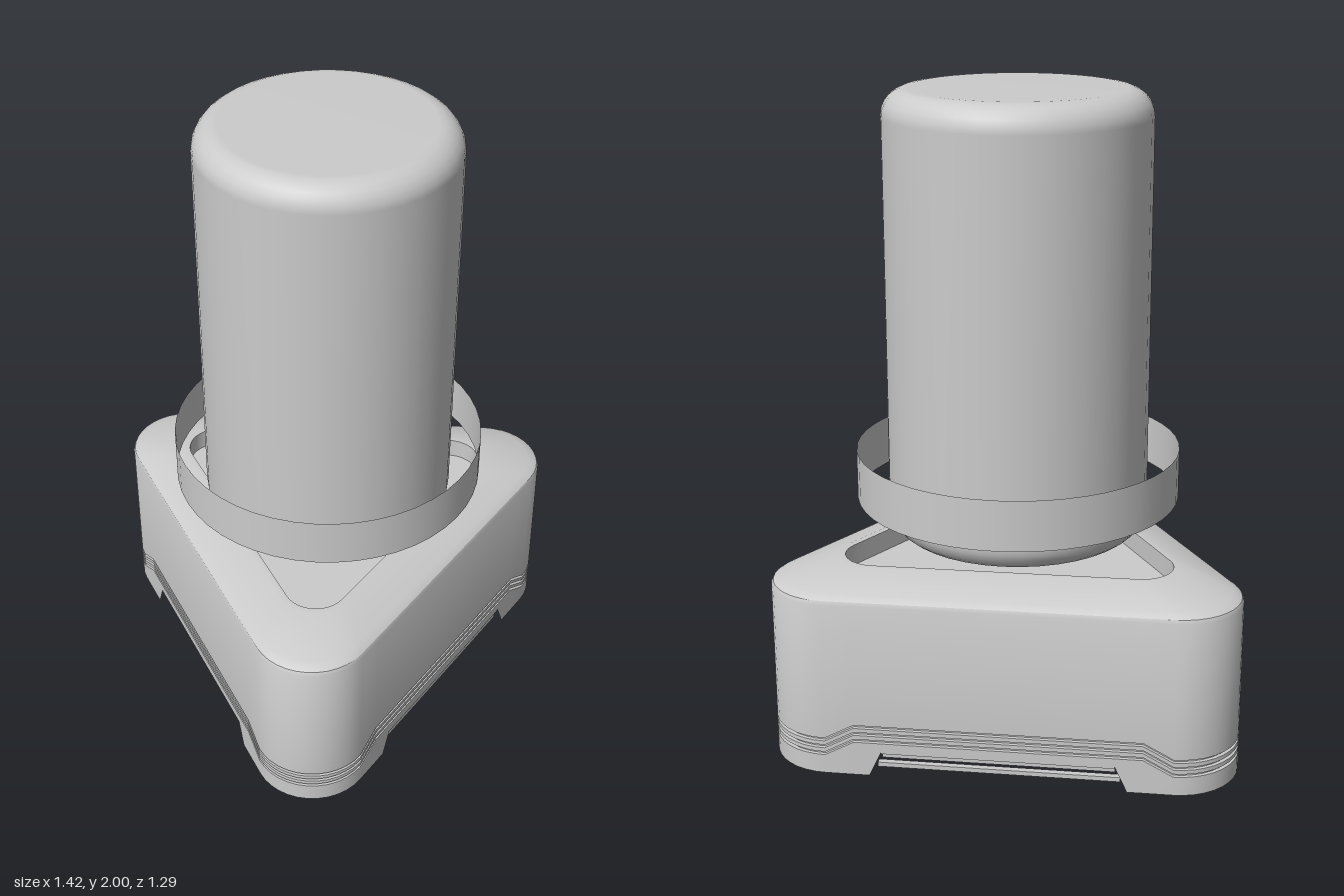
import * as THREE from 'three';
import { toCreasedNormals } from 'three/addons/utils/BufferGeometryUtils.js';

const R = 0.603, r = 0.188;          // corner-centre distance and corner radius of the base
const HALF = R * Math.sin(Math.PI / 3);
const THIRD = Math.PI * 2 / 3;
const CENTRE_Z = -0.151;

// Stations round the rounded triangle: corner direction, outward angle, position along the side
function makeStations() {
  const list = [], arc = 12;
  const along = [-0.433, -0.387, -0.35, 0.35, 0.387, 0.433];
  for (let k = 0; k < 3; k++) {
    for (let i = 0; i <= arc; i++) {
      list.push({ corner: k * THIRD, angle: k * THIRD + (i / arc - 0.5) * THIRD, s: null });
    }
    for (const s of along) list.push({ angle: (k + 0.5) * THIRD, s });
  }
  return list;
}

// Position of a station on a triangle of the given size
function stationPoint(st, size, radius, y) {
  const sin = Math.sin(st.angle), cos = Math.cos(st.angle);
  if (st.s === null) {
    return [Math.sin(st.corner) * size + sin * radius, y, Math.cos(st.corner) * size + cos * radius];
  }
  const t = st.s * size / R, d = size / 2 + radius;
  return [sin * d + cos * t, y, cos * d - sin * t];
}

// Shell of the base: wall with stepped grooves, bevelled top and shallow pocket
function baseShell() {
  const rows = [{ size: R, radius: r, y: 0, foot: true }];
  for (const y of [0.06, 0.083, 0.106]) {
    for (const [dy, inset] of [[0, 0], [0, 0.012], [0.01, 0.012], [0.01, 0]]) {
      rows.push({ size: R, radius: r - inset, y: y + dy, groove: true });
    }
  }
  for (const [size, radius, y] of [
    [R, r, 0.55], [0.6, 0.185, 0.562], [0.592, 0.178, 0.57], [0.58, 0.172, 0.576],
    [0.46, 0.12, 0.615], [0.46, 0.10, 0.615], [0.46, 0.10, 0.55], [0, 0, 0.55]
  ]) rows.push({ size, radius, y });

  const stations = makeStations(), n = stations.length;
  const pos = [], index = [];
  rows.forEach((row, i) => {
    stations.forEach((st, j) => {
      const inner = st.s === null ? HALF : Math.abs(st.s);
      let y = row.y;
      if (row.groove && inner < 0.44) y += 0.048;   // grooves climb over the vents
      if (row.foot && inner < 0.36) y = 0.08;       // vent opening between the feet
      pos.push(...stationPoint(st, row.size, row.radius, y));
      if (i === rows.length - 1) return;
      const a = i * n + j, b = i * n + (j + 1) % n;
      index.push(a, b, b + n);
      if (i < rows.length - 2) index.push(a, b + n, a + n);
    });
  });
  const g = new THREE.BufferGeometry();
  g.setAttribute('position', new THREE.Float32BufferAttribute(pos, 3));
  g.setIndex(index);
  return toCreasedNormals(g, 0.5);
}

// Closed bottle profile with rounded shoulders
function bottleGeometry() {
  const radius = 0.4, bottom = 0.635, top = 2, round = 0.08, steps = 6;
  const pts = [new THREE.Vector2(0, bottom)];
  for (let i = 0; i <= steps; i++) {
    const a = i / steps * Math.PI / 2;
    pts.push(new THREE.Vector2(radius - round + Math.sin(a) * round, bottom + round - Math.cos(a) * round));
  }
  for (let i = 0; i <= steps; i++) {
    const a = i / steps * Math.PI / 2;
    pts.push(new THREE.Vector2(radius - round + Math.cos(a) * round, top - round + Math.sin(a) * round));
  }
  pts.push(new THREE.Vector2(0, top));
  return new THREE.LatheGeometry(pts, 40);
}

export function createModel() {
  const model = new THREE.Group();
  model.name = 'bottleOnTriangularBase';
  model.position.z = CENTRE_Z;
  const solid = new THREE.MeshStandardMaterial({ color: 0xcccccc });
  const thin = new THREE.MeshStandardMaterial({ color: 0xcccccc, side: THREE.DoubleSide });

  const add = (name, geometry, material, y = 0, parent = model) => {
    const mesh = new THREE.Mesh(geometry, material);
    mesh.name = name;
    mesh.position.y = y;
    parent.add(mesh);
    return mesh;
  };

  add('base', baseShell(), thin);
  add('bottle', bottleGeometry(), solid);
  add('shaft', new THREE.CylinderGeometry(0.07, 0.07, 0.09, 24), solid, 0.595);
  add('collarRing', new THREE.CylinderGeometry(0.497, 0.497, 0.155, 48, 1, true), thin, 0.828);

  // Ledge and slats inside the vent on each side
  for (let k = 0; k < 3; k++) {
    const vent = new THREE.Group();
    vent.name = 'vent' + (k + 1);
    vent.rotation.y = (k + 0.5) * THIRD;
    model.add(vent);
    const face = R / 2 + r;
    add('ventLedge', new THREE.BoxGeometry(0.7, 0.008, 0.04), solid, 0.078, vent).position.z = face - 0.021;
    [0.06, 0.028].forEach((y, i) => {
      const slat = add('ventSlat', new THREE.BoxGeometry(0.7 + i * 0.03, 0.014, 0.02), solid, y, vent);
      slat.position.z = face - 0.03;
    });
  }
  return model;
}
